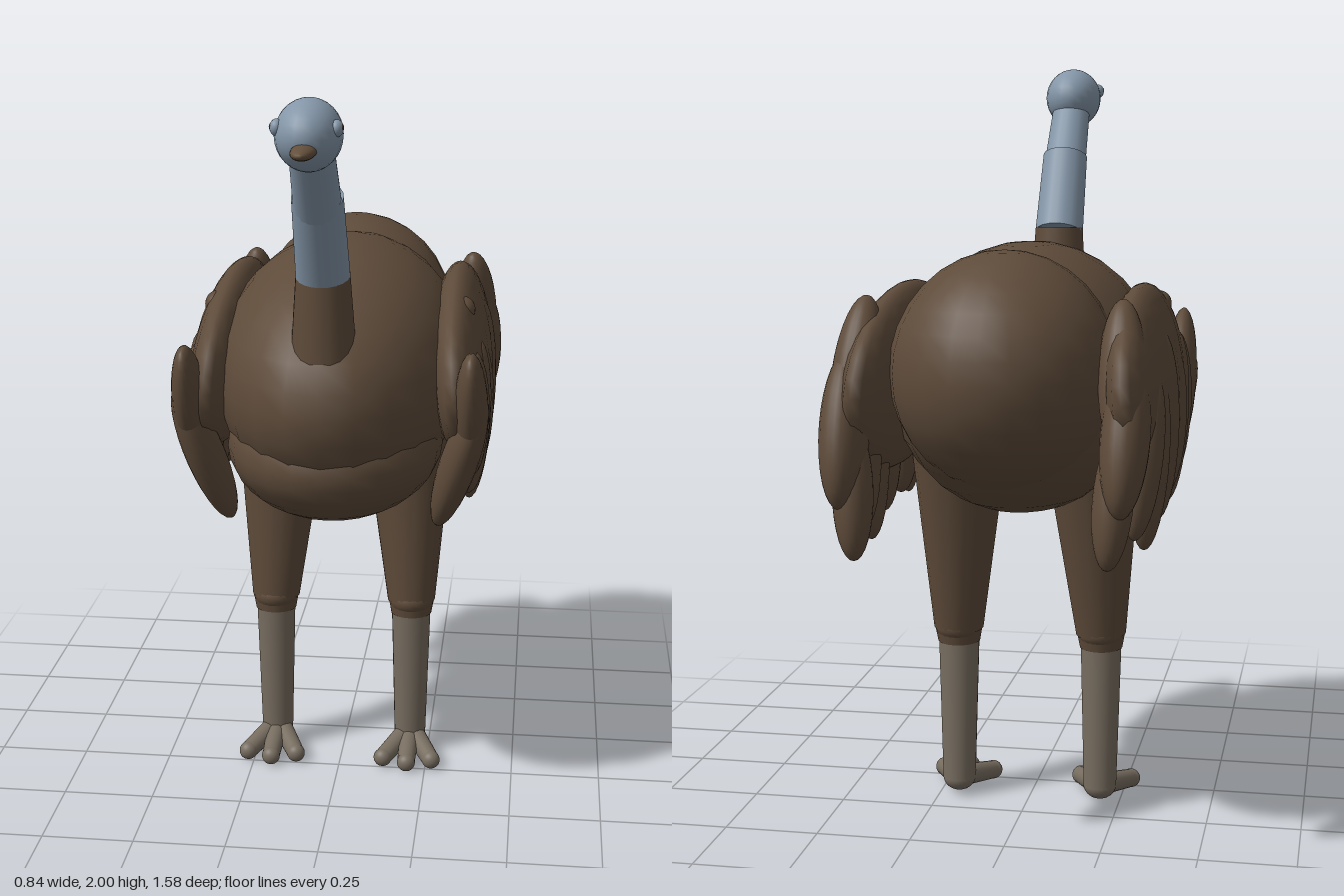
import * as THREE from 'three';

const mat = (name, color) => {
  const m = new THREE.MeshStandardMaterial({ color });
  m.name = name;
  return m;
};
const UP = new THREE.Vector3(0, 1, 0);

export function createModel() {
  const plumage = mat('brown plumage', 0x5e4b3a);
  const skin = mat('blue grey skin', 0x8496a8);
  const shank = mat('grey leg', 0x776d60);
  const horn = mat('beak brown', 0x64503c);
  const pupilMat = mat('dark pupil', 0x3a322c);

  const model = new THREE.Group();
  model.name = 'bird';
  const sphere = new THREE.SphereGeometry(1, 24, 16);

  const ellipsoid = (parent, name, material, pos, radii) => {
    const m = new THREE.Mesh(sphere, material);
    m.name = name;
    m.position.set(...pos);
    m.scale.set(...radii);
    parent.add(m);
    return m;
  };
  // Tapered limb running from a (radius ra) to b (radius rb)
  const limb = (parent, name, material, a, b, ra, rb) => {
    const p = new THREE.Vector3(...a), q = new THREE.Vector3(...b);
    const m = new THREE.Mesh(new THREE.CylinderGeometry(rb, ra, p.distanceTo(q), 20), material);
    m.name = name;
    m.position.copy(p).lerp(q, 0.5);
    m.quaternion.setFromUnitVectors(UP, q.sub(p).normalize());
    parent.add(m);
    return m;
  };
  // Slim ellipsoid with its tips at a and b
  const feather = (parent, name, a, b, thick, width) => {
    const p = new THREE.Vector3(...a), q = new THREE.Vector3(...b);
    const mid = p.clone().lerp(q, 0.5);
    const m = ellipsoid(parent, name, plumage, mid.toArray(), [thick, p.distanceTo(q) / 2, width]);
    m.quaternion.setFromUnitVectors(UP, p.sub(q).normalize());
    return m;
  };

  // Body masses
  ellipsoid(model, 'body', plumage, [0, 1.18, -0.13], [0.345, 0.355, 0.6]);
  ellipsoid(model, 'rump', plumage, [0, 1.235, -0.47], [0.285, 0.3, 0.322]);
  ellipsoid(model, 'belly', plumage, [0, 1.02, 0.07], [0.29, 0.2, 0.36]);

  // Neck, bending forward to the head
  limb(model, 'neckBase', plumage, [0, 1.28, 0.335], [0, 1.545, 0.35], 0.087, 0.068);
  limb(model, 'lowerNeck', skin, [0, 1.53, 0.35], [0, 1.745, 0.458], 0.069, 0.064);
  limb(model, 'upperNeck', skin, [0, 1.72, 0.452], [0, 1.89, 0.58], 0.06, 0.054);

  // Head
  ellipsoid(model, 'head', skin, [0, 1.915, 0.61], [0.08, 0.085, 0.11]);
  ellipsoid(model, 'beak', horn, [0, 1.89, 0.705], [0.03, 0.018, 0.085]);

  // Wing plumes as [tip, tail], each point x, y, z on the left side
  const plumes = [
    [[0.37, 1.32, 0.31], [0.37, 0.95, 0.1], 0.045, 0.085],
    [[0.4, 1.2, 0.25], [0.28, 0.8, 0.11], 0.05, 0.075],
    [[0.37, 1.28, 0.1], [0.36, 0.87, 0.04], 0.05, 0.075],
    [[0.38, 1.29, 0.01], [0.36, 0.83, -0.03], 0.045, 0.06],
    [[0.37, 1.28, -0.09], [0.36, 0.86, -0.13], 0.055, 0.07],
    [[0.35, 1.2, -0.15], [0.34, 0.86, -0.19], 0.05, 0.06],
    [[0.37, 1.33, -0.32], [0.36, 0.83, -0.29], 0.055, 0.07],
    [[0.37, 1.26, -0.41], [0.35, 0.79, -0.46], 0.05, 0.075],
    [[0.37, 1.25, -0.48], [0.34, 0.84, -0.58], 0.05, 0.07],
    [[0.34, 1.42, -0.5], [0.36, 1.05, -0.66], 0.06, 0.07],
    [[0.37, 1.29, -0.56], [0.36, 0.92, -0.72], 0.06, 0.09],
    [[0.35, 1.12, -0.63], [0.33, 0.79, -0.7], 0.05, 0.06],
  ];

  for (const [side, s] of [['left', 1], ['right', -1]]) {
    // Eye
    ellipsoid(model, side + 'Eye', skin, [s * 0.069, 1.936, 0.65], [0.016, 0.02, 0.02]);
    ellipsoid(model, side + 'Pupil', pupilMat, [s * 0.08, 1.938, 0.653], [0.006, 0.009, 0.009]);

    // Wing
    const wing = new THREE.Group();
    wing.name = side + 'Wing';
    model.add(wing);
    const base = ellipsoid(wing, 'wingBase', plumage, [s * 0.325, 1.19, -0.22], [0.085, 0.245, 0.51]);
    base.rotation.z = s * 0.08;
    ellipsoid(wing, 'shoulderTuft', plumage, [s * 0.335, 1.365, -0.02], [0.032, 0.035, 0.045]);
    plumes.forEach(([a, b, t, w], i) => {
      // The rearmost right plumes lie closer to the rump
      const tuck = s < 0 && i > 8 ? -0.04 : 0;
      feather(wing, 'plume' + (i + 1), [s * (a[0] + tuck), a[1], a[2]], [s * (b[0] + tuck), b[1], b[2]], t, w);
    });

    // Leg
    const leg = new THREE.Group();
    leg.name = side + 'Leg';
    model.add(leg);
    const x = s * 0.197;
    limb(leg, 'thigh', plumage, [s * 0.18, 1.0, -0.18], [x, 0.48, -0.128], 0.13, 0.068);
    ellipsoid(leg, 'knee', plumage, [x, 0.485, -0.128], [0.066, 0.05, 0.07]);
    limb(leg, 'kneeCuff', plumage, [x, 0.49, -0.128], [x, 0.44, -0.126], 0.067, 0.058);
    limb(leg, 'shank', shank, [x, 0.46, -0.126], [x, 0.05, -0.135], 0.056, 0.045);
    ellipsoid(leg, 'ankle', shank, [x, 0.05, -0.135], [0.045, 0.038, 0.045]);

    // Three splayed toes
    for (const k of [-1, 0, 1]) {
      const tip = [x + k * 0.07, 0.028, k ? -0.01 : 0.015];
      limb(leg, 'toe', shank, [x + k * 0.012, 0.052, -0.13], tip, 0.03, 0.025);
      ellipsoid(leg, 'toeTip', shank, tip, [0.026, 0.026, 0.024]);
    }
  }
  return model;
}
